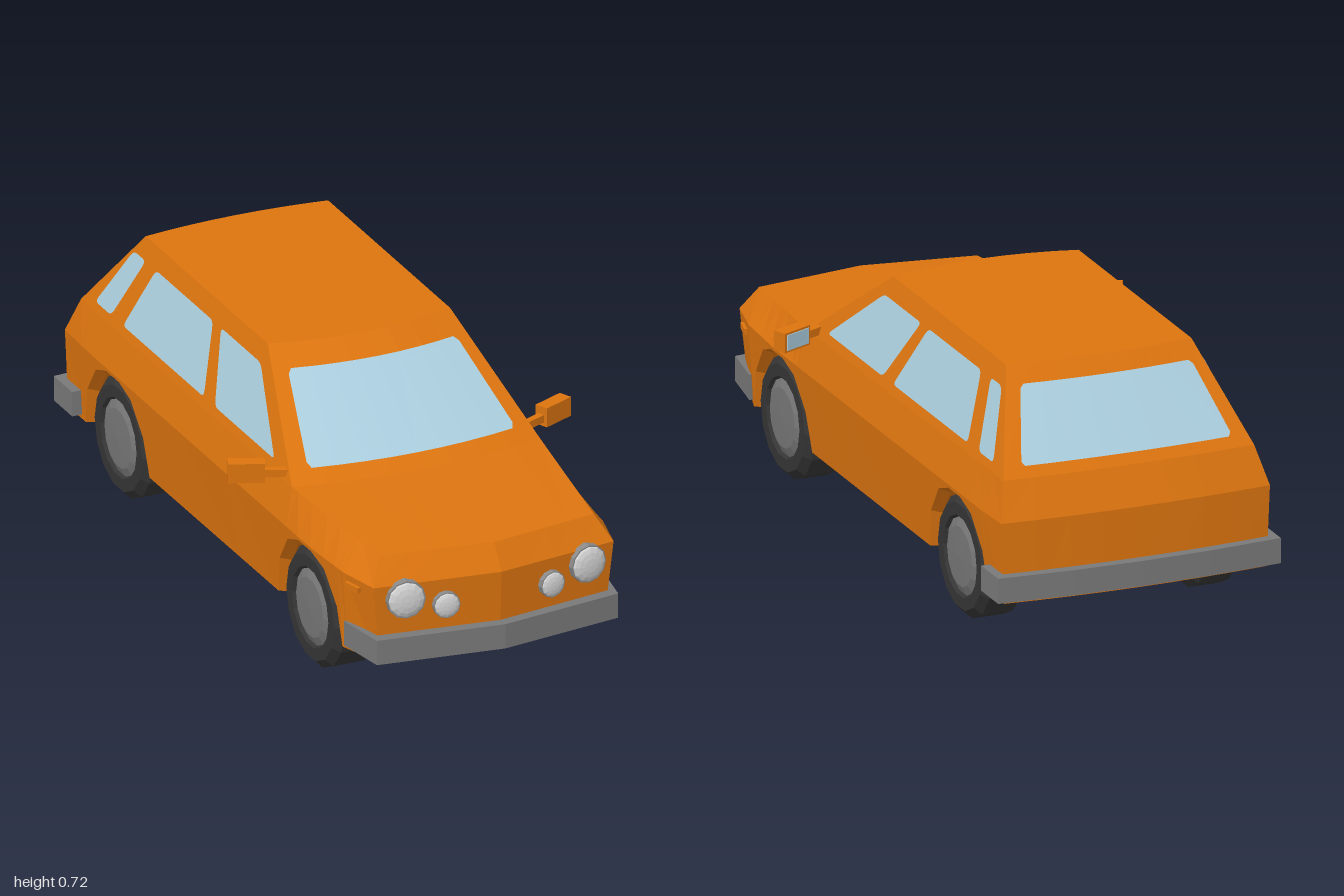
import * as THREE from 'three';

const mat = (name, color, side = THREE.FrontSide) => {
  const m = new THREE.MeshStandardMaterial({ color, side });
  m.name = name;
  return m;
};

// piecewise-linear lookup in a table of [key, value], keys ascending
const lookup = (table, k) => {
  if (k <= table[0][0]) return table[0][1];
  for (let i = 1; i < table.length; i++) {
    const [k0, v0] = table[i - 1], [k1, v1] = table[i];
    if (k <= k1) return v0 + (v1 - v0) * (k - k0) / (k1 - k0);
  }
  return table[table.length - 1][1];
};

// faceted surface through a grid of points
const patch = (rows) => {
  const pos = [];
  for (let i = 0; i + 1 < rows.length; i++) {
    for (let j = 0; j + 1 < rows[i].length; j++) {
      const a = rows[i][j], b = rows[i][j + 1], c = rows[i + 1][j + 1], d = rows[i + 1][j];
      pos.push(...a, ...b, ...c, ...a, ...c, ...d);
    }
  }
  const g = new THREE.BufferGeometry();
  g.setAttribute('position', new THREE.Float32BufferAttribute(pos, 3));
  g.computeVertexNormals();
  return g;
};

const facet = (g) => {
  const f = g.index ? g.toNonIndexed() : g;
  f.computeVertexNormals();
  return f;
};

// bowed line across the car: half width, height, corner z, bow at the centre, bow power
const line = (w, y, z, bow, p = 2) => ({ w, y, z, bow, p });
const at = (l, t) => [l.w * t, l.y, l.z + l.bow * (1 - Math.abs(t) ** l.p)];
const across = (l, tMax = 1) => Array.from({ length: 9 }, (_, i) => at(l, (i / 4 - 1) * tMax));

const FRONT_BOTTOM = line(0.335, 0.14, 0.91, 0.05, 1);
const FRONT_BELT = line(0.358, 0.37, 0.92, 0.05, 1);
const HOOD_EDGE = line(0.32, 0.44, 0.875, 0.05, 1);
const COWL = line(0.37, 0.47, 0.43, 0.045);
const ROOF_FRONT = line(0.272, 0.727, 0.07, 0.04);
const ROOF_REAR = line(0.272, 0.727, -0.7, -0.02);
const REAR_SHOULDER = line(0.368, 0.475, -0.905, -0.015);
const REAR_BELT = line(0.395, 0.37, -0.95, -0.018);
const REAR_BOTTOM = line(0.385, 0.14, -0.95, -0.02);

const AXLES = [-0.64, 0.57];
const ARCH = [[-0.2, 0.14], [-0.175, 0.25], [-0.11, 0.335], [-0.04, 0.36],
  [0.04, 0.36], [0.11, 0.335], [0.175, 0.25], [0.2, 0.14]];
const BOTTOM_X = [[-0.95, 0.385], [0.77, 0.38], [0.91, 0.335]];
const BELT_X = [[-0.95, 0.395], [-0.8, 0.4], [0.6, 0.4], [0.79, 0.388], [0.92, 0.358]];
const SHOULDER_X = [[-0.905, 0.368], [0.43, 0.37], [0.875, 0.32]];
const SHOULDER_Y = [[-0.905, 0.475], [0.43, 0.47], [0.875, 0.44]];

// side wall cross-section at z: floor edge, wheel well, bevelled arch lip, belt, shoulder
const sideSection = (z) => {
  const axle = AXLES.find((a) => Math.abs(z - a) < 0.2001);
  const zb = Math.min(z, 0.91), zs = THREE.MathUtils.clamp(z, -0.905, 0.875);
  const y = axle === undefined ? 0.14 : lookup(ARCH, z - axle);
  const zi = axle === undefined ? zb : axle + (z - axle) * 0.92;
  const yi = 0.14 + (y - 0.14) * 0.94;
  const x0 = lookup(BOTTOM_X, zb), xBelt = lookup(BELT_X, z);
  const xo = x0 + (xBelt - x0) * (y - 0.14) / 0.23;
  return [[0.24, 0.14, zb], [0.24, yi, zi], [xo - 0.03, yi, zi], [xo, y, zb],
    [xBelt, 0.37, z], [lookup(SHOULDER_X, zs), lookup(SHOULDER_Y, zs), zs]];
};

// pane with clipped corners, lying just outside the surface between two lines
const pane = (low, high, s0, s1, dz) => patch(
  [[s0, 0.835], [s0 + 0.04, 0.865], [s1 - 0.04, 0.865], [s1, 0.835]].map(([s, t]) => {
    const l = {};
    for (const k in low) l[k] = low[k] + (high[k] - low[k]) * s;
    return across(l, t).map(([x, y, z]) => [x, y + 0.004, z + dz]);
  }));

// rounded polygon from corner points
const roundedShape = (pts, r) => {
  const s = new THREE.Shape();
  pts.forEach((p, i) => {
    const c = new THREE.Vector2(...p);
    const toward = (q) => new THREE.Vector2(...q).sub(c).setLength(r).add(c);
    const a = toward(pts[(i + pts.length - 1) % pts.length]), b = toward(pts[(i + 1) % pts.length]);
    if (i) s.lineTo(a.x, a.y); else s.moveTo(a.x, a.y);
    s.quadraticCurveTo(c.x, c.y, b.x, b.y);
  });
  return s;
};

// bumper from half outlines (outer and inner) given as [x, z] from side to centre
const bumper = (outer, inner) => {
  const mirror = (h) => [...h, ...h.slice(0, -1).reverse().map(([x, z]) => [-x, z])];
  const pts = [...mirror(outer), ...mirror(inner).reverse()].map((p) => new THREE.Vector2(...p));
  const g = new THREE.ExtrudeGeometry(new THREE.Shape(pts), { depth: 0.072, bevelEnabled: false });
  return g.rotateX(Math.PI / 2).translate(0, 0.225, 0);
};

export function createModel() {
  const car = new THREE.Group();
  car.name = 'car';
  const paint = mat('orange paint', 0xdc740f, THREE.DoubleSide);
  const glass = mat('window glass', 0xaacddd, THREE.DoubleSide);
  const bumperGrey = mat('bumper grey', 0x797979);
  const hubGrey = mat('hub grey', 0x777777);
  const rubber = mat('tyre rubber', 0x353535);
  const lens = mat('lamp lens', 0xd2d2d2);
  const rimGrey = mat('lamp rim grey', 0x8a8a8a);
  const add = (name, geometry, material, parent = car) => {
    const m = new THREE.Mesh(geometry, material);
    m.name = name;
    parent.add(m);
    return m;
  };

  // body: nose, hood, windscreen frame, roof and tail as one strip
  add('bodyShell', patch([{ ...FRONT_BOTTOM, bow: 0 }, FRONT_BOTTOM, FRONT_BELT, HOOD_EDGE, COWL, ROOF_FRONT,
    ROOF_REAR, REAR_SHOULDER, REAR_BELT, REAR_BOTTOM, { ...REAR_BOTTOM, bow: 0 }].map((l) => across(l))), paint);
  add('floor', patch([[[-0.24, 0.14, -0.95], [0.24, 0.14, -0.95]], [[-0.24, 0.14, 0.91], [0.24, 0.14, 0.91]]]), paint);

  // body sides with wheel arches
  const stations = [-0.95, 0.92, 0.79, 0.43, 0.1, -0.2];
  for (const a of AXLES) for (const [dz] of ARCH) stations.push(a + dz);
  stations.sort((a, b) => a - b);
  const lower = stations.map(sideSection);
  const upper = [[at(REAR_SHOULDER, 1), at(ROOF_REAR, 1)], [at(COWL, 1), at(ROOF_FRONT, 1)]];
  const flip = (rows) => rows.map((r) => r.map(([x, y, z]) => [-x, y, z])).reverse();

  // windscreen and rear window
  add('windscreen', pane(COWL, ROOF_FRONT, 0.115, 0.815, 0.004), glass);
  add('rearWindow', pane(REAR_SHOULDER, ROOF_REAR, 0.1, 0.815, -0.004), glass);

  // side windows as [z, y] corners
  const windows = {
    frontSideWindow: [[0.305, 0.5], [0.075, 0.678], [-0.175, 0.678], [-0.07, 0.5]],
    rearSideWindow: [[-0.14, 0.5], [-0.225, 0.678], [-0.585, 0.678], [-0.65, 0.5]],
    quarterWindow: [[-0.725, 0.5], [-0.65, 0.678], [-0.725, 0.678], [-0.825, 0.5]],
  };

  // tyre and hub profiles
  const lathe = (pts) => facet(new THREE.LatheGeometry(pts.map((p) => new THREE.Vector2(...p)), 14));
  const tyre = lathe([[0, -0.065], [0.15, -0.065], [0.172, -0.045], [0.172, 0.045], [0.15, 0.065],
    [0.115, 0.065], [0.108, 0.054]]);
  const hub = lathe([[0.112, 0.054], [0.085, 0.066], [0, 0.069]]);

  for (const s of [1, -1]) {
    const side = s > 0 ? 'left' : 'right';
    add(side + 'BodySide', patch(s > 0 ? lower : flip(lower)), paint);
    add(side + 'CabinSide', patch(s > 0 ? upper : flip(upper)), paint);

    for (const [name, corners] of Object.entries(windows)) {
      const g = new THREE.ShapeGeometry(roundedShape(corners, 0.018), 3);
      const p = g.attributes.position;
      for (let i = 0; i < p.count; i++) {
        const z = p.getX(i), y = p.getY(i);
        p.setXYZ(i, s * (0.375 - (y - 0.47) * 0.381), y, z);
      }
      g.computeVertexNormals();
      add(side + name, g, glass);
    }

    AXLES.forEach((z, i) => {
      const wheel = new THREE.Group();
      wheel.name = side + (i ? 'FrontWheel' : 'RearWheel');
      add('tyre', tyre, rubber, wheel);
      add('hub', hub, hubGrey, wheel);
      wheel.rotation.z = -s * Math.PI / 2;
      wheel.position.set(s * 0.317, 0.174, z);
      car.add(wheel);
    });

    // round headlamps, a large outer and a small inner one
    for (const [name, x, y, z, r] of [['Headlamp', 0.27, 0.33, 0.93, 0.055], ['InnerLamp', 0.156, 0.298, 0.945, 0.038]]) {
      const lamp = new THREE.Group();
      lamp.name = side + name;
      add('rim', facet(new THREE.CylinderGeometry(r, r, 0.034, 12).rotateX(Math.PI / 2)), rimGrey, lamp);
      add('lens', facet(new THREE.SphereGeometry(r * 0.94, 12, 4, 0, Math.PI * 2, 0, Math.PI / 2)
        .scale(1, 0.3, 1).rotateX(Math.PI / 2).translate(0, 0, 0.016)), lens, lamp);
      lamp.position.set(s * x, y, z);
      lamp.rotation.y = s * 0.139;
      car.add(lamp);
    }

    // door mirror on a short arm
    const mirror = new THREE.Group();
    mirror.name = side + 'Mirror';
    add('mirrorHousing', new THREE.BoxGeometry(0.1, 0.056, 0.04), paint, mirror);
    add('mirrorGlass', new THREE.BoxGeometry(0.085, 0.044, 0.004).translate(0, 0, -0.021), glass, mirror);
    add('mirrorArm', new THREE.BoxGeometry(0.075, 0.022, 0.02).translate(-s * 0.075, -0.005, 0), paint, mirror);
    mirror.position.set(s * 0.458, 0.494, 0.328);
    mirror.rotation.y = s * 0.42;
    car.add(mirror);

    // side marker on the front wing
    const marker = add(side + 'SideMarker', new THREE.BoxGeometry(0.016, 0.016, 0.056), paint);
    marker.position.set(s * 0.378, 0.343, 0.835);
    marker.rotation.y = -s * 0.22;
  }

  // bumpers wrapping round both ends
  add('frontBumper', bumper([[0.385, 0.79], [0.36, 0.945], [0, 0.995]],
    [[0.345, 0.79], [0.325, 0.9], [0, 0.945]]), bumperGrey);
  add('rearBumper', bumper([[0.415, -0.862], [0.415, -0.978], [0.2, -0.995], [0, -1]],
    [[0.375, -0.862], [0.375, -0.94], [0.2, -0.95], [0, -0.955]]), bumperGrey);
  return car;
}
